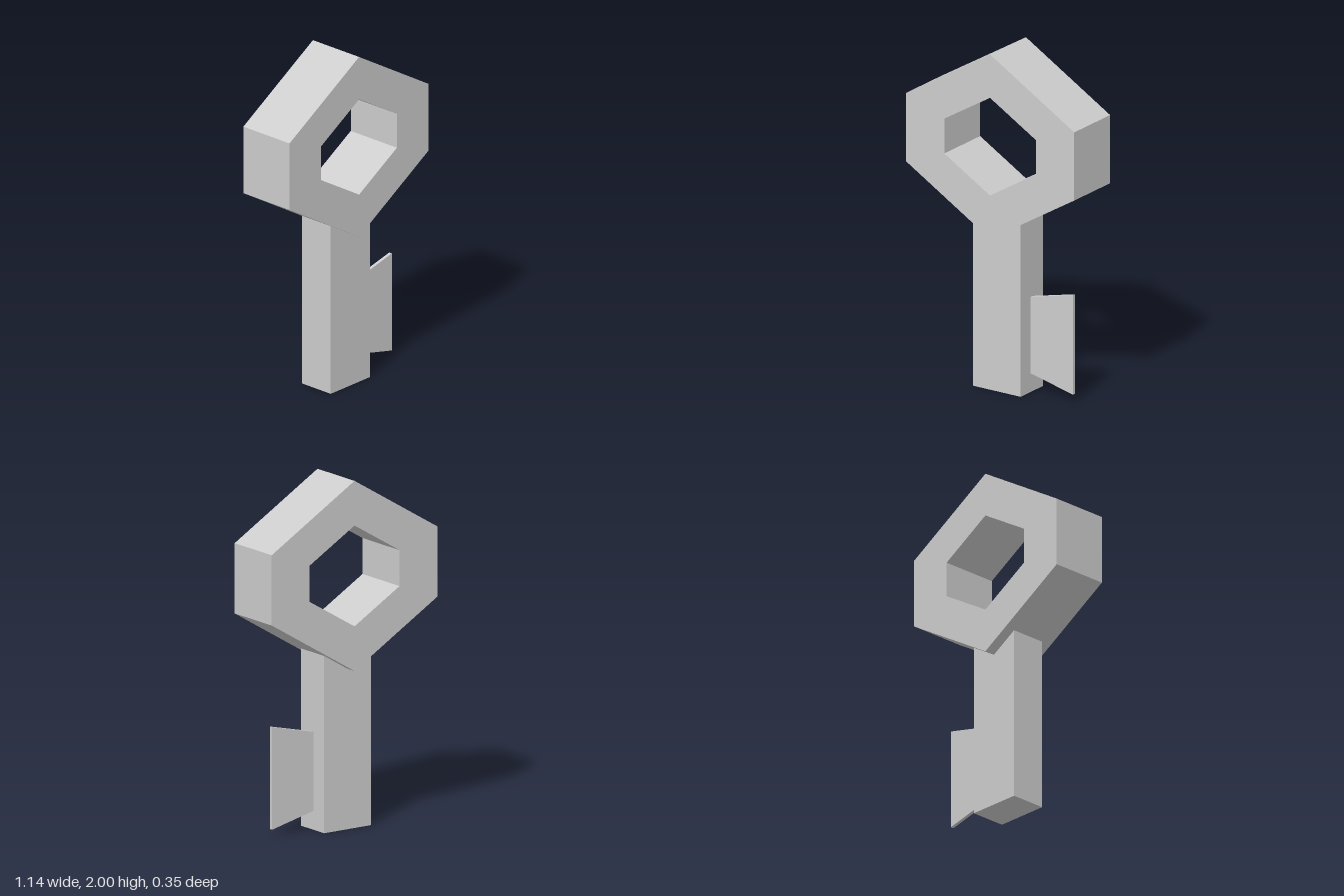
import * as THREE from 'three';

// Pointy-topped six-sided outline centred on x = 0
function hexPoints(halfWidth, top, upper, lower, bottom) {
  return [
    [0, top], [-halfWidth, upper], [-halfWidth, lower],
    [0, bottom], [halfWidth, lower], [halfWidth, upper],
  ].map(([x, y]) => new THREE.Vector2(x, y));
}

// Extrude a shape to the given depth, centred on z = 0
function slab(shape, depth) {
  const geometry = new THREE.ExtrudeGeometry(shape, { depth, bevelEnabled: false });
  return geometry.translate(0, 0, -depth / 2);
}

export function createModel() {
  const group = new THREE.Group();
  const grey = new THREE.MeshStandardMaterial({ color: 0xcccccc });
  grey.name = 'grey';

  const add = (name, geometry) => {
    const mesh = new THREE.Mesh(geometry, grey);
    mesh.name = name;
    group.add(mesh);
  };

  // Thick hexagonal ring with a hexagonal opening
  const ring = new THREE.Shape(hexPoints(0.568, 2, 1.658, 1.257, 0.915));
  ring.holes.push(new THREE.Path(hexPoints(0.309, 1.745, 1.56, 1.355, 1.17)));
  add('ring', slab(ring, 0.348));

  // Tapered rectangular post, its top sunk into the ring
  const height = 1.05;
  const post = new THREE.BoxGeometry(0.4, height, 0.27).translate(0, height / 2, 0);
  const pos = post.attributes.position;
  for (let i = 0; i < pos.count; i++) {
    if (pos.getY(i) > 0) {
      pos.setX(i, pos.getX(i) * 0.8);
      pos.setZ(i, pos.getZ(i) * 0.8);
    }
  }
  post.computeVertexNormals();
  add('post', post);

  // Thin flared side plate, rooted inside the post
  const plate = new THREE.Shape([
    [0.15, 0.112], [0.445, 0.042], [0.445, 0.627], [0.15, 0.557],
  ].map(([x, y]) => new THREE.Vector2(x, y)));
  add('sidePlate', slab(plate, 0.02));

  return group;
}
